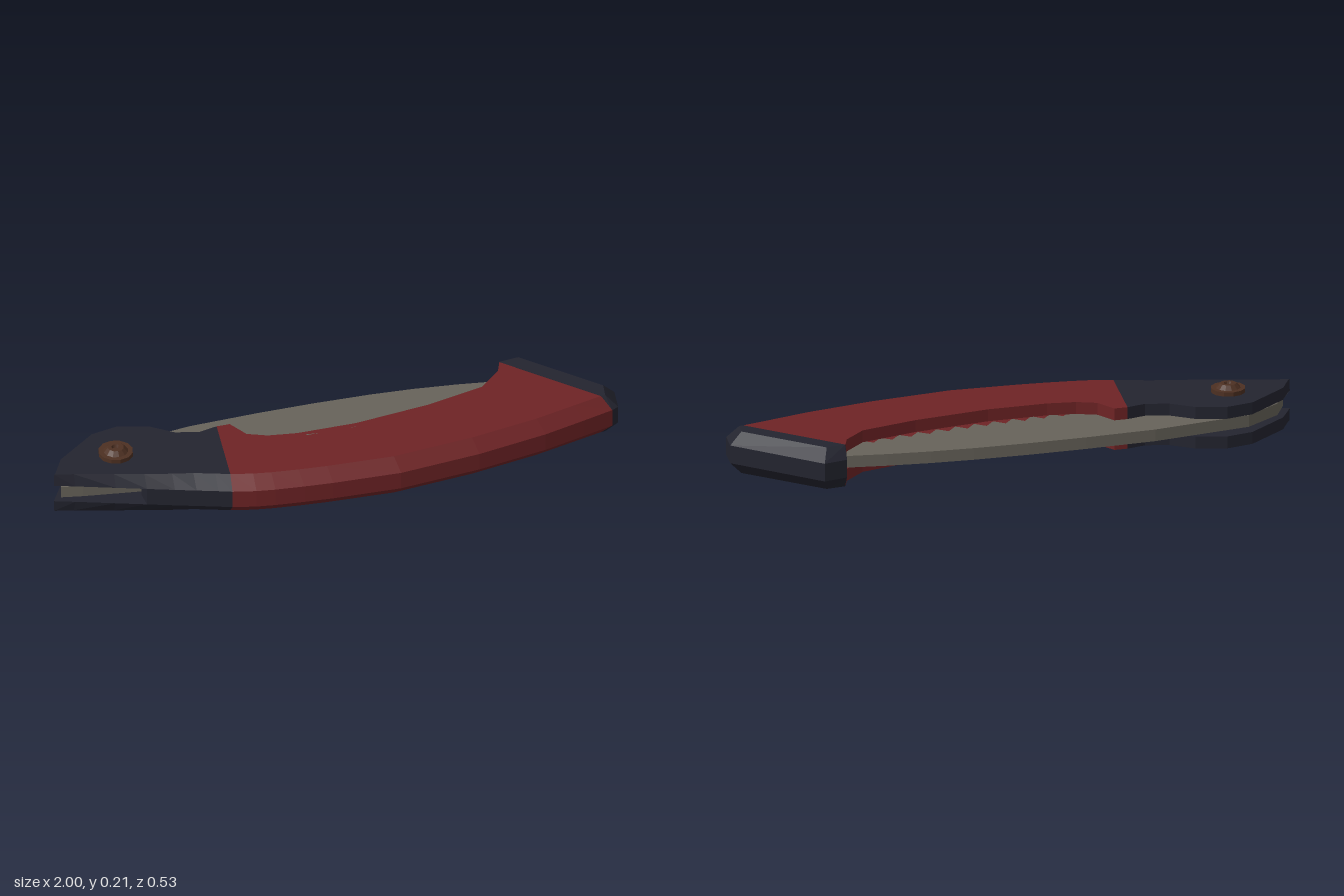
import * as THREE from 'three';

const MID = 0.105, TOP = 0.18, FLOOR = 0.165, SLOT = 0.137;

const mat = (name, color) => {
  const m = new THREE.MeshStandardMaterial({ color, flatShading: true });
  m.name = name;
  return m;
};

function mesh(name, geometry, material) {
  const m = new THREE.Mesh(geometry, material);
  m.name = name;
  return m;
}

// Skin a row of rings (each counter-clockwise seen from the far end) and close both ends
function loft(rings, pivot = 0) {
  const pos = [], n = rings[0].length;
  const tri = (a, b, c) => pos.push(...a, ...b, ...c);
  for (let i = 0; i < rings.length - 1; i++) {
    for (let j = 0; j < n; j++) {
      const k = (j + 1) % n, r = rings[i], s = rings[i + 1];
      tri(r[j], r[k], s[k]);
      tri(r[j], s[k], s[j]);
    }
  }
  const first = rings[0], last = rings[rings.length - 1];
  for (let j = 1; j < n - 1; j++) {
    const a = (pivot + j) % n, b = (pivot + j + 1) % n;
    tri(first[pivot], first[b], first[a]);
    tri(last[pivot], last[a], last[b]);
  }
  const g = new THREE.BufferGeometry();
  g.setAttribute('position', new THREE.Float32BufferAttribute(pos, 3));
  g.computeVertexNormals();
  return g;
}

// Flat outline in x, z raised from y by a depth
function slab(outline, y, depth, holes = []) {
  const flat = (pts) => pts.map(([x, z]) => new THREE.Vector2(x, -z));
  const shape = new THREE.Shape(flat(outline));
  holes.forEach((h) => shape.holes.push(new THREE.Path(flat(h))));
  const g = new THREE.ExtrudeGeometry(shape, { depth, bevelEnabled: false });
  return g.rotateX(-Math.PI / 2).translate(0, y, 0);
}

// Point at a distance from the front edge towards the back edge of a station
function inset([xb, zb, xf, zf], c) {
  const l = Math.hypot(xb - xf, zb - zf), t = Math.min(c / l, 0.3);
  return [xf + (xb - xf) * t, zf + (zb - zf) * t];
}

// One chamfered side of the handle, with sunken pockets in its face
function side(name, stations, pockets, material, chamfer) {
  const g = new THREE.Group();
  g.name = name;
  const rings = stations.map((s, i) => {
    const [xb, zb, xf, zf] = s, [xi, zi] = inset(s, chamfer(i));
    return [[xb, SLOT, zb], [xb, FLOOR, zb], [xi, FLOOR, zi], [xi, TOP, zi], [xf, SLOT, zf]];
  });
  g.add(mesh(name + 'Base', loft(rings, 2), material));
  const back = stations.map(([x, z]) => [x, z]);
  const front = stations.map((s, i) => inset(s, chamfer(i))).reverse();
  g.add(mesh(name + 'Face', slab([...back, ...front], FLOOR, TOP - FLOOR, pockets), material));
  return g;
}

// Spine that joins both sides along the front edge
function spine(name, stations, material) {
  const lo = 2 * MID - SLOT;
  return mesh(name, loft(stations.map((s) => {
    const [xi, zi] = inset(s, 0.06);
    return [[xi, lo, zi], [xi, SLOT, zi], [s[2], SLOT, s[3]], [s[2], lo, s[3]]];
  })), material);
}

function pocket([x, z, w, h, a]) {
  return [[-1, -1], [1, -1], [1, 1], [-1, 1]].map(([u, v]) => {
    const p = (u * w) / 2, q = (v * h) / 2;
    return [x + p * Math.cos(a) + q * Math.sin(a), z - p * Math.sin(a) + q * Math.cos(a)];
  });
}

export function createModel() {
  const red = mat('red grip', 0x6e2325);
  const navy = mat('dark navy', 0x23242f);
  const steel = mat('grey steel', 0x67635a);
  const bronze = mat('brown bolt', 0x4d3022);
  const model = new THREE.Group();
  model.name = 'foldingSaw';

  // Stations: back x, back z, front x, front z
  const bolster = [
    [-0.99, -0.012, -1, 0], [-0.95, -0.085, -0.93, 0.025], [-0.805, -0.2, -0.8, 0.073],
    [-0.71, -0.22, -0.7, 0.11], [-0.605, -0.19, -0.61, 0.143], [-0.53, -0.13, -0.54, 0.168],
    [-0.45, -0.107, -0.47, 0.193], [-0.382, -0.123, -0.425, 0.21],
  ];
  const grip = [
    [-0.382, -0.123, -0.425, 0.21], [-0.335, -0.123, -0.345, 0.23], [-0.297, -0.05, -0.28, 0.24],
    [-0.23, -0.02, -0.18, 0.25], [-0.13, -0.005, -0.08, 0.258], [0.08, -0.005, 0.16, 0.267],
    [0.35, -0.04, 0.45, 0.235], [0.555, -0.09, 0.7, 0.187], [0.635, -0.165, 0.85, 0.145],
    [0.655, -0.215, 0.96, 0.113],
  ];
  const bolsterPocket = [[-0.66, -0.04], [-0.62, -0.053], [-0.45, 0.01], [-0.42, 0.085], [-0.46, 0.096], [-0.64, 0.043]];
  const gripPockets = [
    [-0.217, 0.07, 0.085, 0.105, -0.2], [-0.067, 0.07, 0.085, 0.11, -0.1], [0.1, 0.07, 0.09, 0.11, 0],
    [0.27, 0.065, 0.09, 0.11, 0.1], [0.465, 0.04, 0.09, 0.11, 0.22], [0.64, -0.02, 0.055, 0.125, 0.55],
  ].map(pocket);

  // Bolt head with a sunken centre
  const boltProfile = [[0.06, 0.17], [0.06, 0.195], [0.043, 0.195], [0.028, 0.21], [0.015, 0.21], [0.011, 0.2], [0, 0.2]]
    .map(([r, y]) => new THREE.Vector2(r, y));

  // Upper and lower halves mirror each other
  for (const [name, sign] of [['upperHalf', 1], ['lowerHalf', -1]]) {
    const half = new THREE.Group();
    half.name = name;
    half.scale.y = sign;
    half.position.y = sign > 0 ? 0 : 2 * MID;
    half.add(side('bolsterSide', bolster, [bolsterPocket], navy, (i) => Math.min(0.045, 0.005 + i * 0.008)));
    half.add(side('gripSide', grip, gripPockets, red, () => 0.045));
    const bolt = mesh('bolt', new THREE.LatheGeometry(boltProfile, 12), bronze);
    bolt.position.set(-0.76, 0, -0.063);
    half.add(bolt);
    model.add(half);
  }
  model.add(spine('bolsterSpine', bolster.slice(3), navy));
  model.add(spine('gripSpine', grip, red));

  // End cap with bevelled rim
  const rim = [[0.655, -0.215], [0.66, -0.25], [0.745, -0.268], [0.998, 0.01], [0.985, 0.1], [0.96, 0.113]].reverse();
  const face = [[0.655, -0.215], [0.657, -0.217], [0.725, -0.225], [0.955, 0.02], [0.945, 0.078], [0.93, 0.08]].reverse();
  const layer = (pts, y) => pts.map(([x, z]) => [x, y, z]);
  model.add(mesh('endCap', loft([
    layer(face, 2 * MID - TOP), layer(rim, 2 * MID - SLOT), layer(rim, SLOT), layer(face, TOP),
  ]), navy));

  // Folded blade with saw teeth along its lower edge
  const blade = [
    [-0.975, 0], [-0.93, -0.085], [-0.8, -0.175], [-0.66, -0.195], [-0.45, -0.225], [-0.2, -0.234],
    [0, -0.235], [0.2, -0.23], [0.35, -0.22], [0.5, -0.203], [0.65, -0.18], [0.69, -0.13],
  ];
  for (let i = 0; i <= 12; i++) {
    const x = 0.58 - i * 0.07, z = -0.012 - 0.08 * x - 0.08 * x * x;
    blade.push([x, z], [x - 0.035, z + 0.04]);
  }
  blade.push([-0.4, 0.07], [-0.7, 0.045], [-0.9, 0.015]);
  model.add(mesh('blade', slab(blade, MID - 0.021, 0.042), steel));

  // Pivot pin through the slot
  const pin = mesh('pivotPin', new THREE.CylinderGeometry(0.03, 0.03, 0.1, 12), bronze);
  pin.position.set(-0.76, MID, -0.063);
  model.add(pin);

  return model;
}
